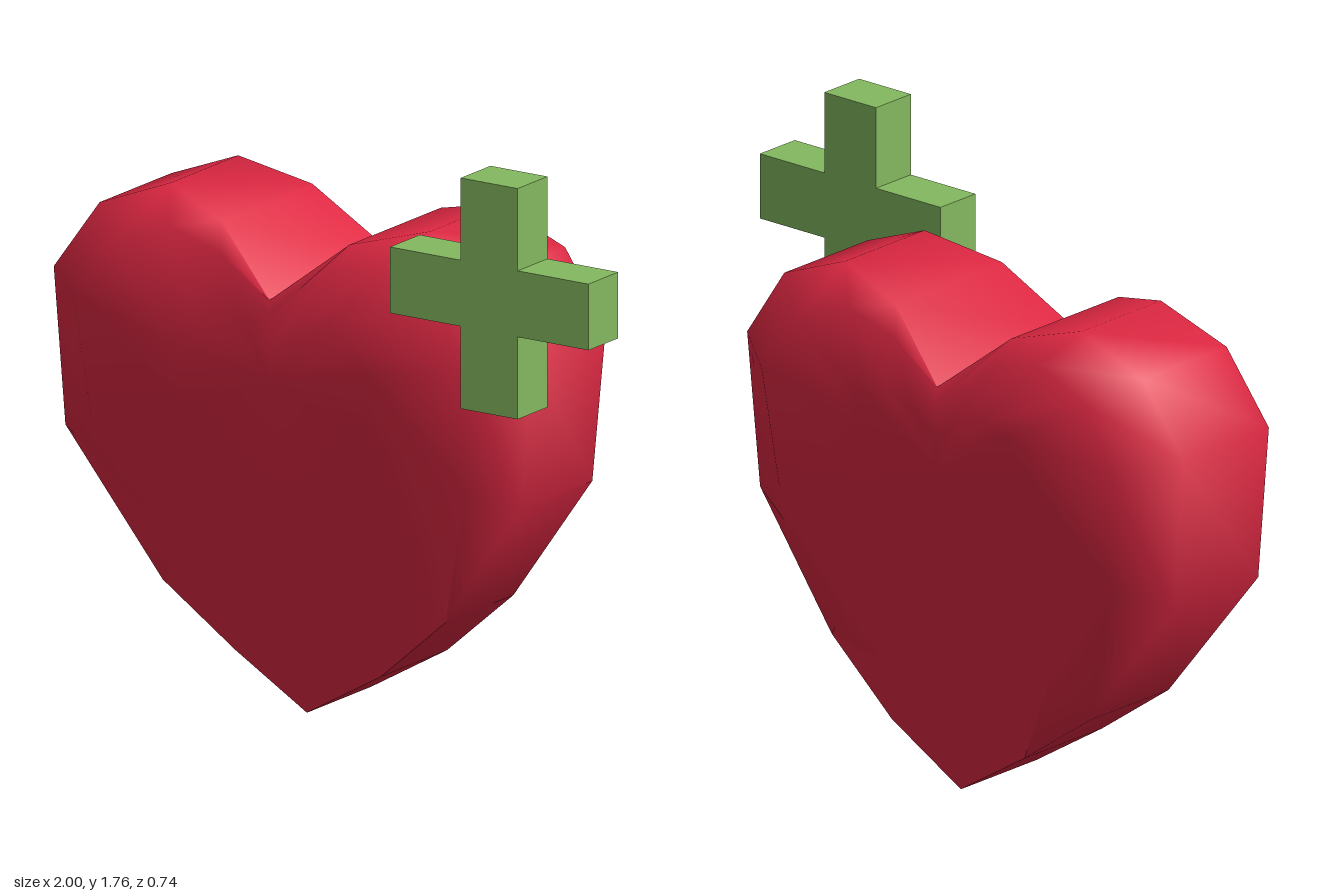
import * as THREE from 'three';
import { toCreasedNormals } from 'three/addons/utils/BufferGeometryUtils.js';

// Rim of the heart, counter-clockwise from the tip: x, y, front z, back z
const RIM = [
  [-0.16, 0, 0.09, -0.235], [0.10, 0.15, 0.10, -0.235], [0.33, 0.35, 0.11, -0.23], [0.60, 0.73, 0.13, -0.23],
  [0.64, 1.19, 0.13, -0.24], [0.50, 1.40, 0.12, -0.24], [0.27, 1.49, 0.10, -0.24], [0.04, 1.43, 0.17, -0.29],
  [-0.18, 1.25, 0.25, -0.36], [-0.40, 1.43, 0.17, -0.29], [-0.62, 1.49, 0.10, -0.24], [-0.85, 1.40, 0.12, -0.24],
  [-1.00, 1.19, 0.13, -0.24], [-0.96, 0.73, 0.13, -0.23], [-0.64, 0.32, 0.11, -0.23], [-0.40, 0.15, 0.10, -0.235],
];
const CENTRE = [-0.18, 1.0];

// Bulge of the faces: thin at the tip, thickest near the lobes
const frontZ = y => y < 1.12 ? 0.09 + 0.145 * y : 0.252 - 0.12 * (y - 1.12);
const backZ = y => y < 1.2 ? -0.235 - 0.113 * y : -0.37 + 0.25 * (y - 1.2);

function heartGeometry() {
  const n = RIM.length;
  const inset = (scale, depth) => RIM.map(([x, y]) => {
    const px = CENTRE[0] + (x - CENTRE[0]) * scale;
    const py = CENTRE[1] + (y - CENTRE[1]) * scale;
    return [px, py, depth(py)];
  });
  // Rings from the middle of the back, over the rim, to the middle of the front
  const rings = [
    inset(0, backZ), inset(0.4, backZ), inset(0.8, backZ),
    RIM.map(([x, y, , b]) => [x, y, b]),
    RIM.map(([x, y, f]) => [x, y, f]),
    inset(0.82, frontZ), inset(0.4, frontZ), inset(0, frontZ),
  ];
  const index = [];
  for (let r = 0; r < rings.length - 1; r++) {
    for (let i = 0; i < n; i++) {
      const a = r * n + i, b = r * n + (i + 1) % n;
      if (r > 0) index.push(a, b, b + n);
      if (r < rings.length - 2) index.push(a, b + n, a + n);
      else index.splice(index.length - 3, 3, a, b, b + n);
    }
  }
  const g = new THREE.BufferGeometry();
  g.setAttribute('position', new THREE.Float32BufferAttribute(rings.flat(2), 3));
  g.setIndex(index);
  return toCreasedNormals(g, 1.25);
}

function crossGeometry() {
  // Plus-shaped outline, one arm turned four times
  const w = 0.0975, l = 0.34;
  const points = [];
  for (let k = 0; k < 4; k++) {
    for (const [x, y] of [[l, -w], [l, w], [w, w]]) {
      points.push(new THREE.Vector2(x, y).rotateAround(new THREE.Vector2(), k * Math.PI / 2));
    }
  }
  return new THREE.ExtrudeGeometry(new THREE.Shape(points), { depth: 0.15, bevelEnabled: false });
}

export function createModel() {
  const red = new THREE.MeshStandardMaterial({ color: 0xe02843 });
  red.name = 'heartRed';
  const green = new THREE.MeshStandardMaterial({ color: 0x84b960 });
  green.name = 'crossGreen';

  const heart = new THREE.Mesh(heartGeometry(), red);
  heart.name = 'heart';

  const cross = new THREE.Mesh(crossGeometry(), green);
  cross.name = 'plusSign';
  cross.position.set(0.655, 1.418, 0.22);

  const model = new THREE.Group();
  model.name = 'heartWithPlus';
  model.add(heart, cross);
  return model;
}
